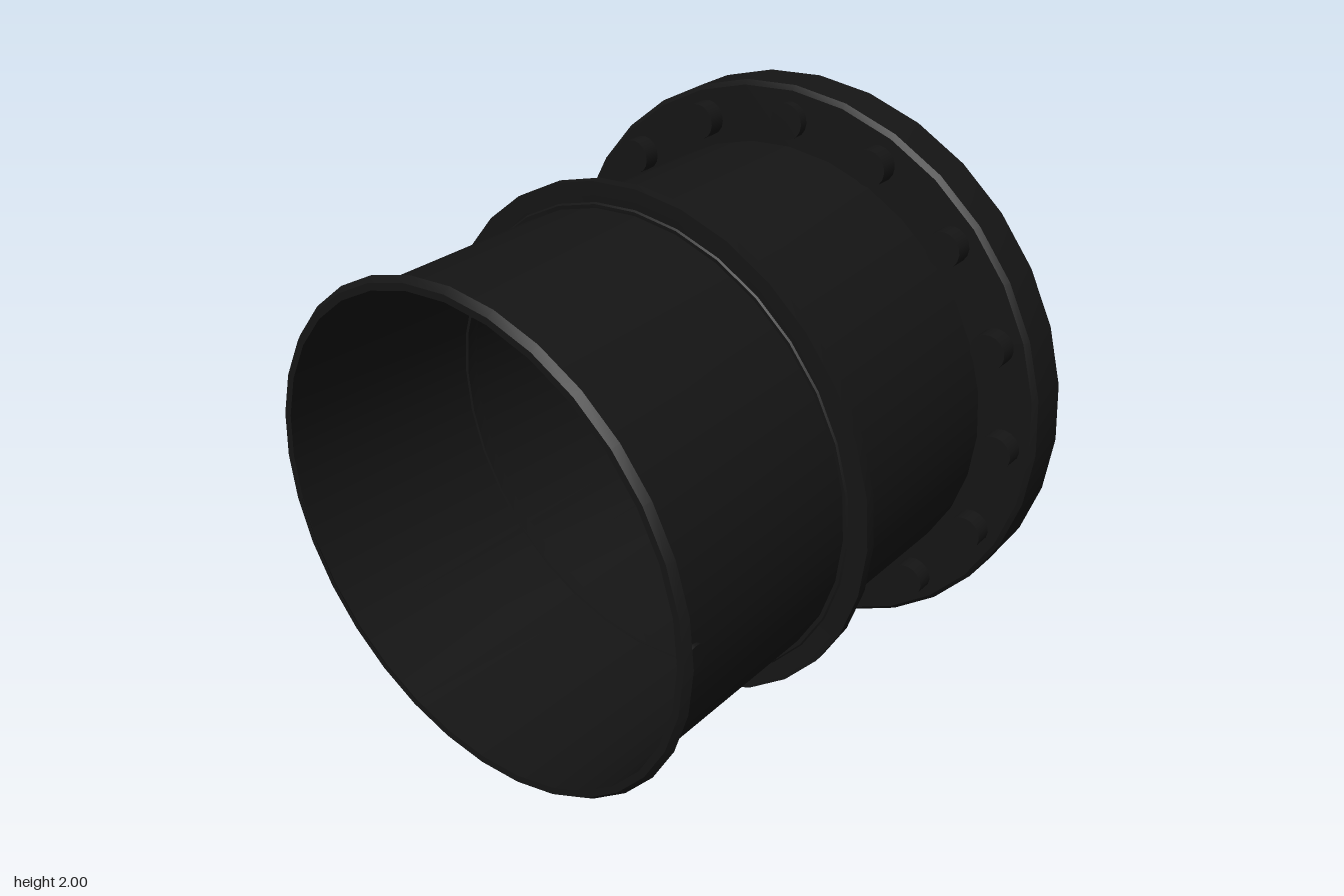
import * as THREE from 'three';
import { toCreasedNormals } from 'three/addons/utils/BufferGeometryUtils.js';

const SIDES = 32;
const BOLTS = 16;
const BOLT_CIRCLE = 0.89;
const BOLT_R = 0.06;
const FACE_X = 0.84;
const RECESS_X = 0.79;

const black = new THREE.MeshStandardMaterial({ color: 0x151515, side: THREE.DoubleSide });

function part(name, geometry, parent) {
  const mesh = new THREE.Mesh(geometry, black);
  mesh.name = name;
  parent.add(mesh);
  return mesh;
}

// Turned part: profile of [radius, position along the axis]
function turned(name, profile, parent) {
  const points = profile.map(([r, h]) => new THREE.Vector2(r, h));
  return part(name, toCreasedNormals(new THREE.LatheGeometry(points, SIDES), 0.4), parent);
}

// Regular polygon added to a shape or path
function ring(path, radius) {
  const points = [];
  for (let i = 0; i < SIDES; i++) {
    const a = (i / SIDES) * Math.PI * 2;
    points.push(new THREE.Vector2(Math.cos(a) * radius, Math.sin(a) * radius));
  }
  return path.setFromPoints(points);
}

export function createModel() {
  const model = new THREE.Group();
  model.name = 'flangedPipe';

  // Built upright along y, then laid down so y becomes x
  const body = new THREE.Group();
  body.name = 'pipeBody';
  body.rotation.z = -Math.PI / 2;
  body.position.y = 1;
  model.add(body);

  // Thin pipe wall
  turned('pipeWall', [[0.797, -0.84], [0.797, 0.7]], body);

  // Flared lip at the plain end
  turned('endLip', [[0.795, -0.845], [0.817, -0.845], [0.833, -0.823], [0.797, -0.823]], body);

  // Collar round the middle, showing slightly inside the pipe
  turned('middleCollar', [
    [0.788, -0.09], [0.81, -0.095], [0.815, -0.09], [0.88, -0.09], [0.88, -0.056],
    [0.815, -0.056], [0.81, -0.048], [0.788, -0.05], [0.788, -0.09],
  ], body);

  // Flange rim, back and bore; the drilled face is separate
  turned('flangeRim', [
    [0.795, 0.68], [0.985, 0.68], [1, 0.695], [1, 0.83], [0.99, FACE_X],
  ], body);
  turned('flangeBore', [[0.805, FACE_X], [0.793, 0.825], [0.793, 0.68]], body);

  // Drilled flange face
  const faceShape = ring(new THREE.Shape(), 0.99);
  faceShape.holes.push(ring(new THREE.Path(), 0.805));
  for (let i = 0; i < BOLTS; i++) {
    const a = (i / BOLTS) * Math.PI * 2;
    const hole = new THREE.Path();
    hole.absarc(Math.cos(a) * BOLT_CIRCLE, Math.sin(a) * BOLT_CIRCLE, BOLT_R, 0, Math.PI * 2, true);
    faceShape.holes.push(hole);
  }
  const face = part('flangeFace', new THREE.ShapeGeometry(faceShape, 8), body);
  face.rotation.x = -Math.PI / 2;
  face.position.y = FACE_X;

  // Bolts with recessed ends; the top and bottom ones stand out less
  for (let i = 0; i < BOLTS; i++) {
    const a = (i / BOLTS) * Math.PI * 2;
    const start = i % (BOLTS / 2) === 0 ? 0.65 : 0.62;
    const bolt = new THREE.Group();
    bolt.name = 'flangeBolt';
    bolt.position.set(Math.cos(a) * BOLT_CIRCLE, 0, Math.sin(a) * BOLT_CIRCLE);
    body.add(bolt);
    const length = RECESS_X - start;
    part('boltShank', new THREE.CylinderGeometry(BOLT_R, BOLT_R, length, 16), bolt)
      .position.y = start + length / 2;
    const depth = FACE_X - RECESS_X;
    part('boltRecess', new THREE.CylinderGeometry(BOLT_R, BOLT_R, depth, 16, 1, true), bolt)
      .position.y = RECESS_X + depth / 2;
  }

  // Small round stud near the lip
  const stud = part('sideStud', new THREE.CylinderGeometry(0.04, 0.04, 0.03, 16), model);
  stud.rotation.x = Math.PI / 2;
  stud.position.set(-0.78, 1, 0.79);

  return model;
}
